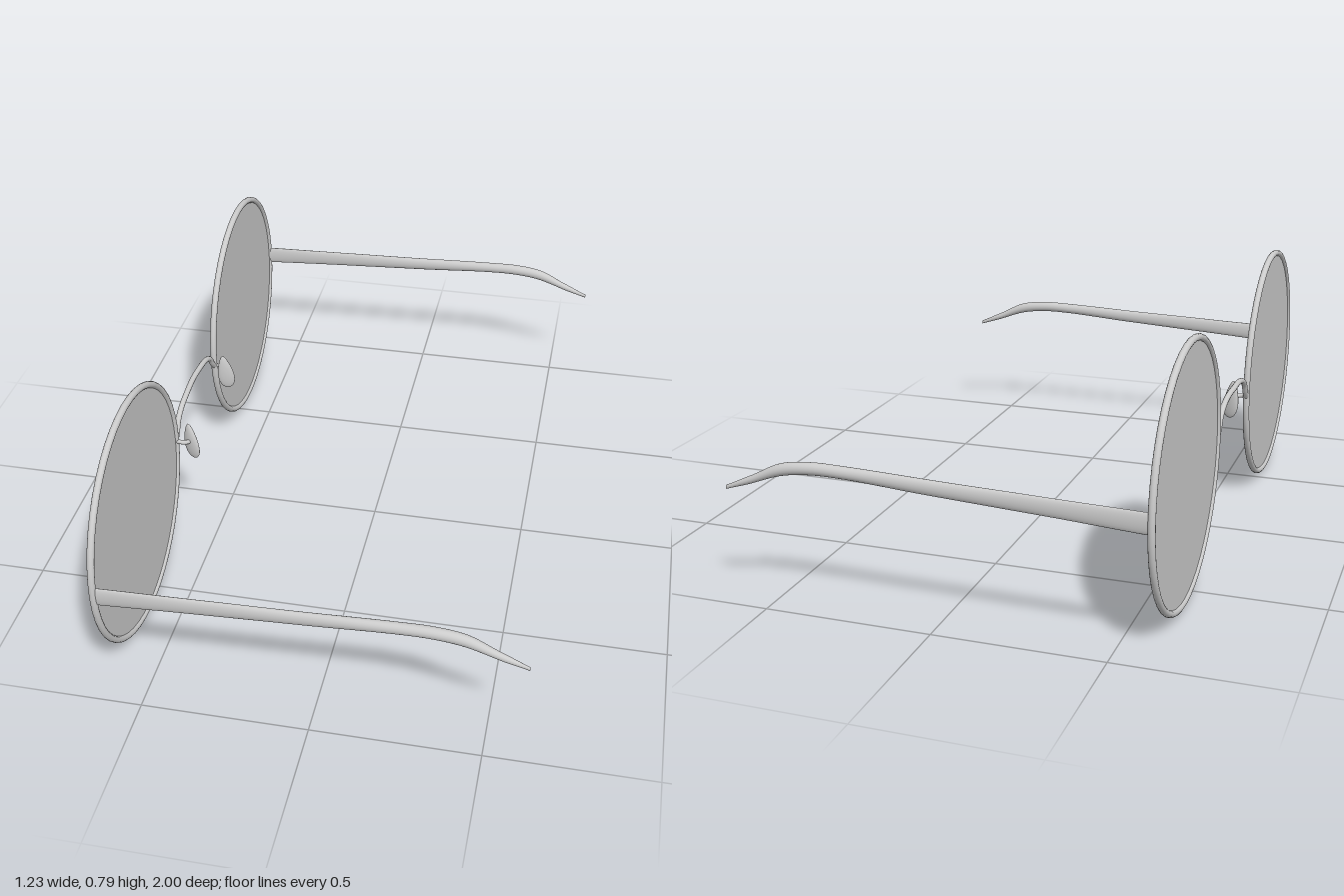
import * as THREE from 'three';

const material = new THREE.MeshStandardMaterial({ color: 0xcccccc });
const thinMaterial = new THREE.MeshStandardMaterial({ color: 0xcccccc, side: THREE.DoubleSide });
const V = (x, y, z) => new THREE.Vector3(x, y, z);

const FRONT_X = -0.607, LENS_Y = 0.395, LENS_Z = 0.603;

function add(parent, name, geometry, mat = material) {
  const mesh = new THREE.Mesh(geometry, mat);
  mesh.name = name;
  parent.add(mesh);
  return mesh;
}

// Loft of upright ellipses along x; section = [x, y, half height, half width]
function loftGeometry(sections, z, sides = 20) {
  const pos = [], idx = [];
  for (const [x, y, h, w] of sections) {
    for (let i = 0; i < sides; i++) {
      const a = (i / sides) * Math.PI * 2;
      pos.push(x, y + Math.cos(a) * h, z + Math.sin(a) * w);
    }
  }
  const rings = sections.length;
  for (let r = 0; r < rings - 1; r++) {
    for (let i = 0; i < sides; i++) {
      const a = r * sides + i, b = r * sides + (i + 1) % sides;
      idx.push(a, b, a + sides, b, b + sides, a + sides);
    }
  }
  // Flat caps with their own vertices
  for (const r of [0, rings - 1]) {
    const start = pos.length / 3;
    for (let i = 0; i < sides * 3; i++) pos.push(pos[r * sides * 3 + i]);
    for (let i = 1; i < sides - 1; i++) {
      if (r === 0) idx.push(start, start + i + 1, start + i);
      else idx.push(start, start + i, start + i + 1);
    }
  }
  const g = new THREE.BufferGeometry();
  g.setAttribute('position', new THREE.Float32BufferAttribute(pos, 3));
  g.setIndex(idx);
  g.computeVertexNormals();
  return g;
}

// Temple arm: thin and tall at the hinge, rounder and bent down at the ear
function templeGeometry(side) {
  const keys = [
    [-0.607, 0.396, 0.031, 0.007], [-0.3, 0.409, 0.026, 0.01], [0, 0.421, 0.022, 0.013],
    [0.25, 0.433, 0.018, 0.016], [0.35, 0.433, 0.018, 0.017], [0.44, 0.42, 0.018, 0.016],
    [0.53, 0.382, 0.012, 0.011], [0.613, 0.349, 0.006, 0.004],
  ];
  const path = new THREE.CatmullRomCurve3(keys.map(k => V(k[0], k[1], 0)), false, 'centripetal');
  const size = new THREE.CatmullRomCurve3(keys.map(k => V(k[2], k[3], 0)), false, 'catmullrom', 0.3);
  const sections = [];
  for (let i = 0; i <= 42; i++) {
    const p = path.getPoint(i / 42), s = size.getPoint(i / 42);
    sections.push([p.x, p.y, s.x, s.y]);
  }
  return loftGeometry(sections, side * 0.982);
}

// Flat teardrop pad, narrow at the top
function padGeometry() {
  const g = new THREE.SphereGeometry(1, 24, 20);
  const p = g.attributes.position;
  for (let i = 0; i < p.count; i++) {
    const y = p.getY(i);
    const w = 0.026 - 0.010 * y;
    p.setXYZ(i, p.getX(i) * w - 0.007 * y, y * 0.064, p.getZ(i) * 0.0105);
  }
  g.computeVertexNormals();
  return g;
}

export function createModel() {
  const model = new THREE.Group();
  model.name = 'roundGlasses';

  for (const side of [1, -1]) {
    const half = new THREE.Group();
    half.name = side > 0 ? 'leftHalf' : 'rightHalf';
    model.add(half);

    // Rim and lens
    const rim = add(half, 'rim', new THREE.TorusGeometry(0.382, 0.0105, 14, 48));
    rim.rotation.y = Math.PI / 2;
    rim.position.set(FRONT_X, LENS_Y, side * LENS_Z);
    const lens = add(half, 'lens', new THREE.CylinderGeometry(0.38, 0.38, 0.005, 48), thinMaterial);
    lens.rotation.z = Math.PI / 2;
    lens.position.copy(rim.position);

    // Temple arm
    add(half, 'temple', templeGeometry(side));

    // Nose pad on a short bent wire
    const wire = new THREE.CatmullRomCurve3([
      V(FRONT_X, 0.38, side * 0.223), V(-0.585, 0.38, side * 0.226),
      V(-0.572, 0.376, side * 0.218), V(-0.563, 0.372, side * 0.202),
    ]);
    add(half, 'padWire', new THREE.TubeGeometry(wire, 16, 0.007, 10));
    const pad = add(half, 'nosePad', padGeometry());
    pad.position.set(-0.562, 0.372, side * 0.202);
    pad.rotation.y = -side * 0.35;
  }

  // Arched wire bridge between the rims
  const arch = [[-0.222, 0.378], [-0.2, 0.403], [-0.18, 0.433], [-0.14, 0.456], [-0.08, 0.469]];
  const points = [
    ...arch.map(([z, y]) => V(FRONT_X, y, z)),
    V(FRONT_X - 0.002, 0.473, 0),
    ...arch.slice().reverse().map(([z, y]) => V(FRONT_X, y, -z)),
  ];
  add(model, 'bridge', new THREE.TubeGeometry(new THREE.CatmullRomCurve3(points), 60, 0.009, 12));

  return model;
}
